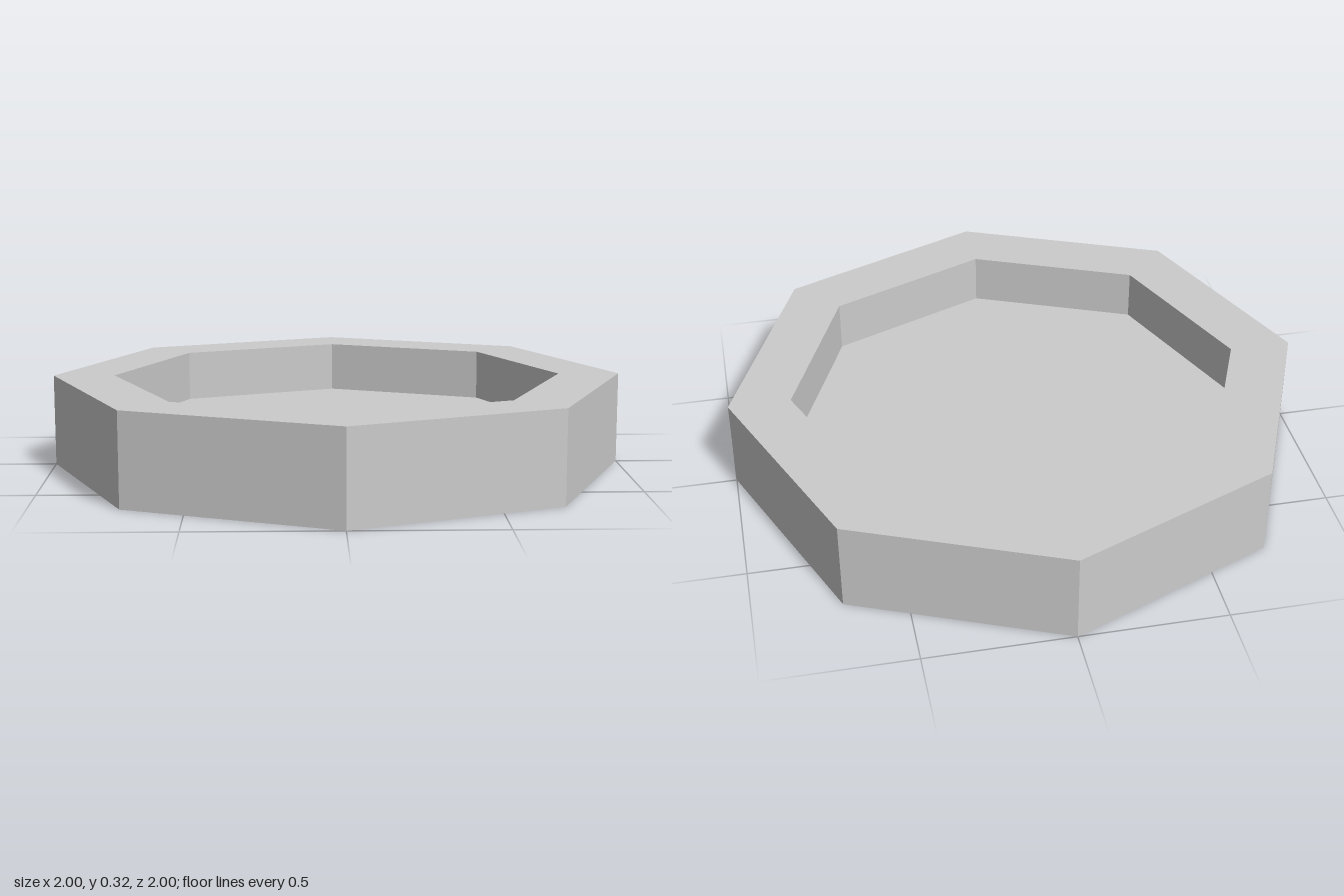
import * as THREE from 'three';

const SIDES = 8;
const OUTER = 1, INNER = 0.786;
const HEIGHT = 0.318, FLOOR = 0.138;

export function createModel() {
  const model = new THREE.Group();
  model.name = 'octagonalTray';
  const material = new THREE.MeshStandardMaterial({ color: 0xcccccc, flatShading: true });

  // Closed profile: underside, outer wall, rim, inner wall, recessed floor
  const profile = [
    [0, 0], [OUTER, 0], [OUTER, HEIGHT],
    [INNER, HEIGHT], [INNER, FLOOR], [0, FLOOR],
  ].map(([r, y]) => new THREE.Vector2(r, y));

  // Eight flat sides with corners on the x and z axes
  const geometry = new THREE.LatheGeometry(profile, SIDES).toNonIndexed();
  geometry.computeVertexNormals();

  const tray = new THREE.Mesh(geometry, material);
  tray.name = 'tray';
  model.add(tray);
  return model;
}
